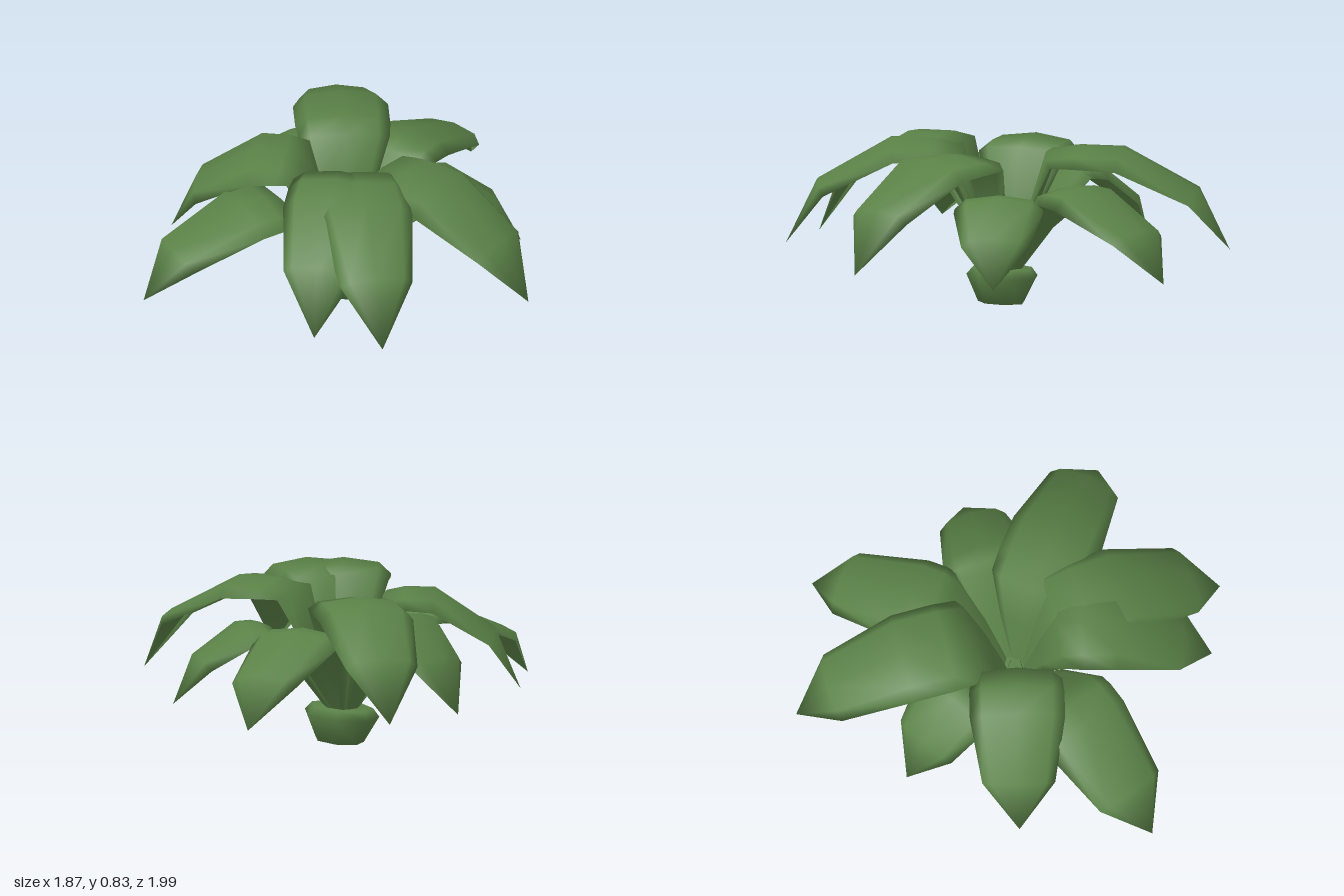
import * as THREE from 'three';

const CENTER = new THREE.Vector3(-0.13, 0, 0.07);

// Closed ring across a leaf: [position across, share of droop, share of thickness]
const RING = [
  [-1, 1, 0], [-0.75, 0.3, 0], [0, 0, 0], [0.75, 0.3, 0], [1, 1, 0],
  [0.75, 0.3, 0.8], [0, 0, 1], [-0.75, 0.3, 0.8]
];

// One arching fleshy leaf: rings swept along a rising, then drooping path.
// inner is the radius at which the stalk reaches the top of the arch.
function leafGeometry(tipX, tipY, tipZ, peak, width, inner) {
  const dx = tipX - CENTER.x, dz = tipZ - CENTER.z;
  const reach = Math.hypot(dx, dz);
  const out = [dx / reach, dz / reach];
  const side = [-out[1], out[0]];
  const crest = Math.max(0.52 * reach, inner + 0.14);
  // direction of the stalk's underside, square to its slope
  const slope = Math.atan2(peak - 0.18, inner - 0.03);
  const sx = Math.sin(slope), sy = -Math.cos(slope);
  // radius, height, half width, edge droop, thickness, underside direction (outward, up)
  const stations = [
    [0.03, 0.15, 0.03, 0.01, 0.02, sx, sy],
    [0.02 + 0.48 * inner, 0.15 + (peak - 0.15) * 0.52, 0.6 * width, 0.02, 0.035, sx, sy],
    [inner, peak - 0.03, 0.99 * width, 0.06, 0.045, 0.75, -0.66],
    [inner + 0.4 * (crest - inner), peak - 0.003, 1.03 * width, 0.07, 0.045, 0.2, -0.98],
    [crest, peak - 0.003, 1.03 * width, 0.08, 0.04, -0.1, -1],
    [0.86 * reach, tipY + (peak - tipY) * 0.6, 0.79 * width, 0.06, 0.03, -0.5, -0.86]
  ];
  const pos = [], index = [];
  for (const [r, y, hw, d, t, ox, oy] of stations) {
    for (const [u, droop, thick] of RING) {
      const off = droop * d + thick * t;
      const rr = r + off * ox;
      pos.push(
        CENTER.x + out[0] * rr + side[0] * u * hw,
        y + off * oy,
        CENTER.z + out[1] * rr + side[1] * u * hw
      );
    }
  }
  pos.push(tipX, tipY, tipZ);
  const n = RING.length, last = stations.length - 1, tip = stations.length * n;
  for (let s = 0; s <= last; s++) {
    for (let i = 0; i < n; i++) {
      const a = s * n + i, b = s * n + (i + 1) % n;
      if (s === last) index.push(a, b, tip);
      else index.push(a, b, b + n, a, b + n, a + n);
    }
  }
  const g = new THREE.BufferGeometry();
  g.setAttribute('position', new THREE.Float32BufferAttribute(pos, 3));
  g.setIndex(index);
  g.computeVertexNormals();
  return g;
}

export function createModel() {
  const group = new THREE.Group();
  group.name = 'leafyPlant';
  const green = new THREE.MeshStandardMaterial({ color: 0x5a8147 });
  green.name = 'leafGreen';

  // Leaves: tip x, y, z, peak height, half width, inner radius
  const leaves = [
    [-0.07, 0.25, -1.0, 0.655, 0.215, 0.36],
    [-0.75, 0.30, -0.84, 0.795, 0.225, 0.20],
    [0.55, 0.24, -0.44, 0.63, 0.21, 0.36],
    [0.93, 0.30, 0.12, 0.80, 0.225, 0.20],
    [0.56, 0.31, 0.88, 0.83, 0.225, 0.20],
    [0.22, 0.31, 0.96, 0.835, 0.225, 0.20],
    [-0.73, 0.24, 0.99, 0.655, 0.225, 0.36],
    [-0.94, 0.28, 0.38, 0.775, 0.225, 0.20],
    [-0.86, 0.25, -0.23, 0.70, 0.21, 0.32]
  ];
  leaves.forEach((l, i) => {
    const leaf = new THREE.Mesh(leafGeometry(...l), green);
    leaf.name = 'leaf' + (i + 1);
    group.add(leaf);
  });

  // Low rounded root bulb, leaning slightly
  const profile = [[0, 0], [0.11, 0.015], [0.17, 0.145], [0.14, 0.185], [0, 0.19]]
    .map(p => new THREE.Vector2(...p));
  const bulb = new THREE.Mesh(new THREE.LatheGeometry(profile, 7), green);
  bulb.name = 'rootBulb';
  bulb.position.set(-0.11, 0.003, 0.075);
  bulb.rotation.set(0, Math.PI / 2, 0.08, 'ZYX');
  bulb.scale.z = 1.12;
  group.add(bulb);

  // Small bud in the middle
  const bud = new THREE.Mesh(new THREE.CylinderGeometry(0.035, 0.05, 0.06, 5), green);
  bud.name = 'centerBud';
  bud.position.set(CENTER.x, 0.2, CENTER.z);
  group.add(bud);

  return group;
}
